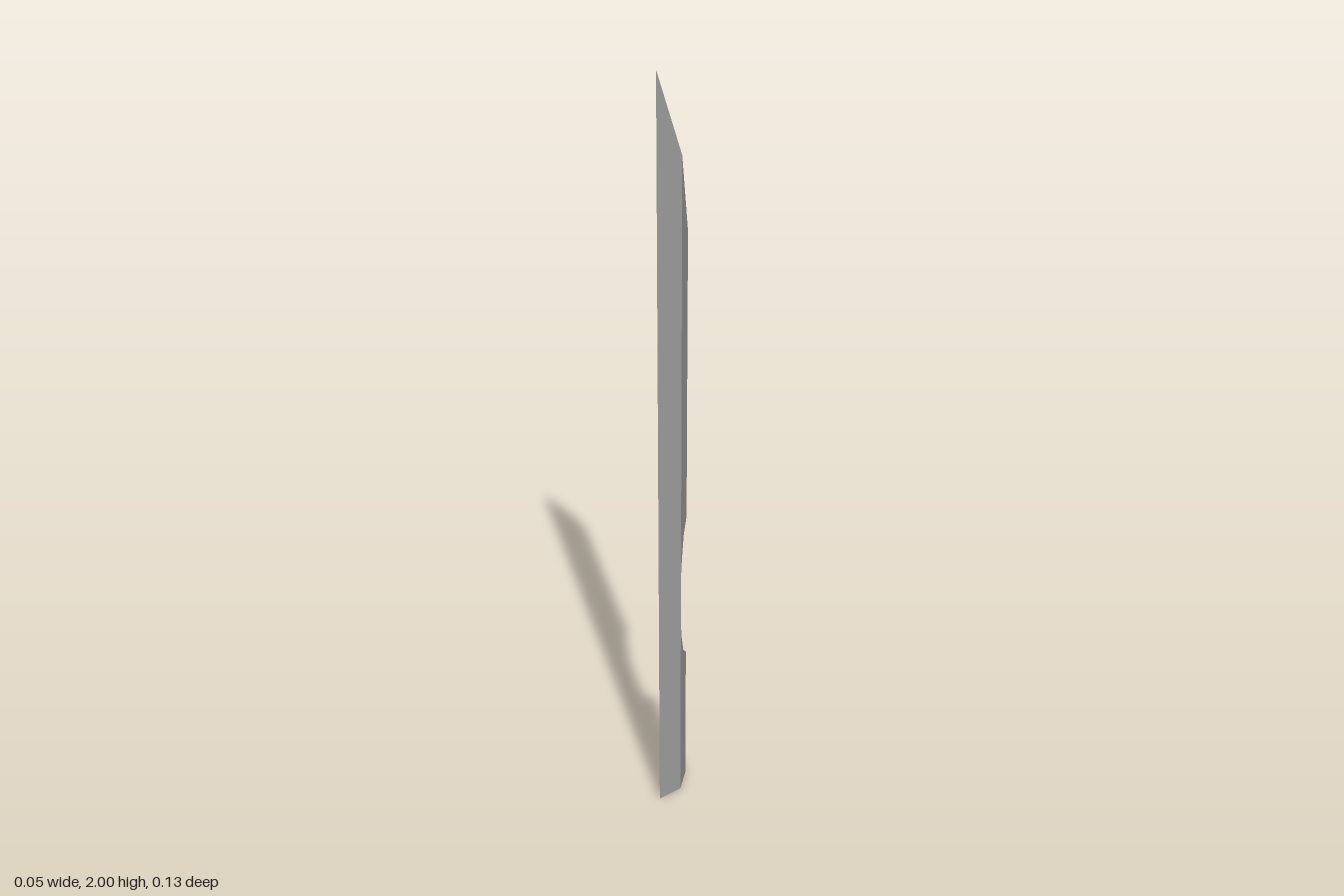
import * as THREE from 'three';

const HALF_X = 0.025, HALF_Z = 0.065;

// Diamond cross-section whose rear corner is cut flat at z = cut
function section(cut, heightAt) {
  const w = HALF_X * (1 + cut / HALF_Z);
  return [[0, HALF_Z], [HALF_X, 0], [w, cut], [-w, cut], [-HALF_X, 0]]
    .map(([x, z]) => [x, heightAt(z), z]);
}

// Skin through the rings, open at the base and capped at the tip
function loft(rings) {
  const n = rings[0].length, index = [];
  for (let r = 0; r < rings.length - 1; r++) {
    for (let i = 0; i < n; i++) {
      const a = r * n + i, b = r * n + (i + 1) % n;
      index.push(a, b, b + n, a, b + n, a + n);
    }
  }
  const top = (rings.length - 1) * n;
  for (let i = 1; i < n - 1; i++) index.push(top, top + i, top + i + 1);
  const indexed = new THREE.BufferGeometry();
  indexed.setAttribute('position', new THREE.Float32BufferAttribute(rings.flat(2), 3));
  indexed.setIndex(index);
  const geometry = indexed.toNonIndexed();
  geometry.computeVertexNormals();
  return geometry;
}

export function createModel() {
  const group = new THREE.Group();
  group.name = 'blade';

  // Rounded notch in the rear edge: [offset from notch centre, depth of cut]
  const notchCentre = 0.623;
  const half = [[0.21, -HALF_Z], [0.178, -0.032], [0.125, -0.012], [0.07, 0]];
  const notch = [
    ...half.map(([d, z]) => [notchCentre - d, z]),
    ...half.slice().reverse().map(([d, z]) => [notchCentre + d, z]),
  ];

  // Open base, notch, then a slanted tip rising towards the front edge
  const rings = [
    section(-HALF_Z, () => 0),
    ...notch.map(([y, cut]) => section(cut, () => y)),
    section(-HALF_Z, (z) => 1.8 + 0.2 * z / HALF_Z),
  ];

  const blade = new THREE.Mesh(
    loft(rings),
    new THREE.MeshStandardMaterial({ color: 0x9c9c9c, flatShading: true, side: THREE.DoubleSide })
  );
  blade.name = 'notchedBlade';
  group.add(blade);
  return group;
}
